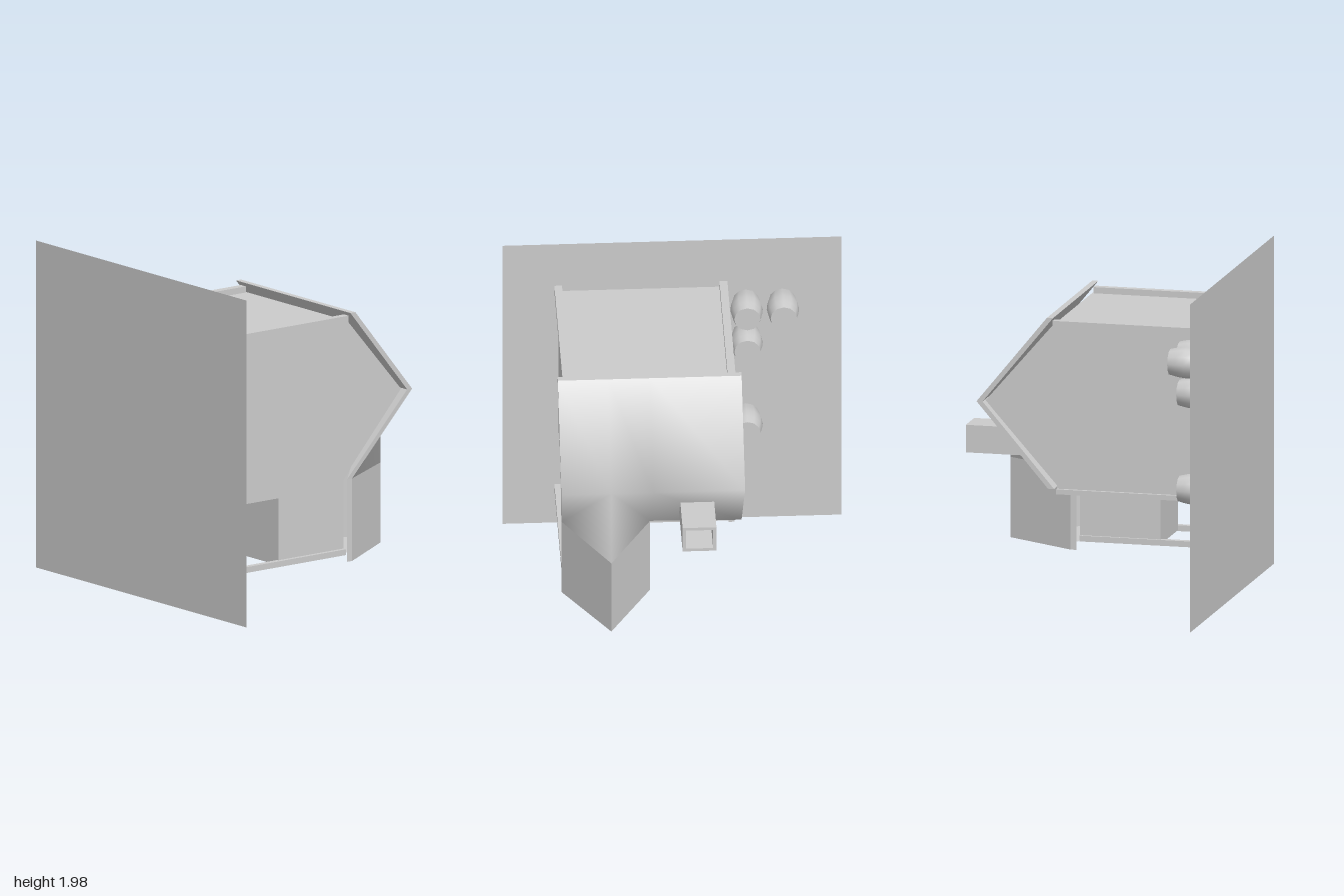
import * as THREE from 'three';

const mat = (opts = {}) => new THREE.MeshStandardMaterial({ color: 0xcccccc, ...opts });

export function createModel() {
  const model = new THREE.Group();
  const flat = mat({ flatShading: true });
  const flatBoth = mat({ flatShading: true, side: THREE.DoubleSide });
  const smooth = mat();
  const smoothBoth = mat({ side: THREE.DoubleSide });

  const add = (name, geometry, material = flat, parent = model) => {
    const mesh = new THREE.Mesh(geometry, material);
    mesh.name = name;
    parent.add(mesh);
    return mesh;
  };

  // Box given by its extents on each axis
  const box = (name, [x0, x1], [y0, y1], [z0, z1]) => {
    const mesh = add(name, new THREE.BoxGeometry(x1 - x0, y1 - y0, z1 - z0));
    mesh.position.set((x0 + x1) / 2, (y0 + y1) / 2, (z0 + z1) / 2);
  };

  const surface = (points, tris) => {
    const g = new THREE.BufferGeometry();
    g.setAttribute('position', new THREE.Float32BufferAttribute(points.flat(), 3));
    g.setIndex(tris.flat());
    g.computeVertexNormals();
    return g;
  };

  // Folded sheet: outer skin, inner skin shifted forward, and a rim along the open edges
  const sheet = (name, points, tris, skinMaterial, depth = 0.037) => {
    const group = new THREE.Group();
    group.name = name;
    const n = points.length;
    const all = [...points, ...points.map(([x, y, z]) => [x, y, z + depth])];
    const inner = tris.map(([a, b, c]) => [a + n, c + n, b + n]);
    const edges = tris.flatMap(([a, b, c]) => [[a, b], [b, c], [c, a]]);
    const rim = edges
      .filter(([a, b]) => !edges.some(([c, d]) => c === b && d === a))
      .flatMap(([a, b]) => [[a, a + n, b], [b, a + n, b + n]]);
    add(name + 'Outer', surface(points, tris), skinMaterial, group);
    add(name + 'Inner', surface(all, [...inner, ...rim]), flatBoth, group);
    model.add(group);
  };

  // Backing wall
  const wall = add('backingWall', new THREE.PlaneGeometry(2, 1.98), flatBoth);
  wall.position.set(0, 0.99, 0.79);

  // Main body: side profile (z, y) extruded across the width
  const profile = new THREE.Shape([
    [0.785, 0.65], [0.785, 1.65], [-0.23, 1.65], [-0.635, 1.18], [-0.2, 0.69], [-0.2, 0.65],
  ].map(([z, y]) => new THREE.Vector2(-z, y)));
  const bodyGeo = new THREE.ExtrudeGeometry(profile, { depth: 0.97, bevelEnabled: false });
  bodyGeo.rotateY(Math.PI / 2);
  bodyGeo.translate(-0.3, 0, 0);
  add('body', bodyGeo);

  // Lower compartment and its floor inside the prow
  box('lowerCompartment', [0.25, 0.67], [0.245, 0.65], [-0.2, 0.29]);
  add('prowFloor', surface(
    [[0.2, 0.246, -0.2], [0.43, 0.246, -0.63], [0.68, 0.246, -0.2]], [[0, 1, 2]]), flatBoth);

  // Rails along the top and bottom edges
  box('topRailRight', [-0.327, -0.28], [1.645, 1.687], [-0.22, 0.787]);
  box('topRailLeft', [0.65, 0.695], [1.645, 1.687], [-0.22, 0.787]);
  box('sideRail', [-0.32, -0.285], [0.64, 0.67], [-0.2, 0.787]);
  box('bottomRailLeft', [0.66, 0.695], [0.24, 0.275], [-0.2, 0.787]);
  box('bottomRailInner', [0.235, 0.27], [0.24, 0.275], [-0.2, 0.787]);

  // Hood: slopes out to a ridge, then back in around a pointed prow
  const xs = [-0.36, 0.18, 0.43, 0.725];
  const hood = [
    ...xs.map((x) => [x, 1.71, -0.247]),
    ...xs.map((x) => [x, 1.185, -0.675]),
    [-0.36, 0.68, -0.24], [0.18, 0.69, -0.24], [0.43, 0.685, -0.67], [0.703, 0.7, -0.24],
  ];
  const hoodTris = [];
  for (const a of [0, 1, 2, 4, 5]) hoodTris.push([a, a + 1, a + 4], [a + 1, a + 5, a + 4]);
  hoodTris.push([6, 7, 11], [6, 11, 10]);
  sheet('hood', hood, hoodTris, smooth);

  // Skirt below the prow
  const skirtTop = hood.slice(9);
  const skirt = [...skirtTop, ...skirtTop.map(([x, , z]) => [x, 0.2, z])];
  sheet('skirt', skirt, [[0, 1, 3], [1, 4, 3], [1, 2, 4], [2, 5, 4]], flat);

  // Hollow square spout at the back
  const rect = (C, h, v) => new C([[-h, -v], [h, -v], [h, v], [-h, v]].map((p) => new THREE.Vector2(...p)));
  const spoutShape = rect(THREE.Shape, 0.1, 0.083);
  spoutShape.holes.push(rect(THREE.Path, 0.08, 0.064));
  const spout = add('spout', new THREE.ExtrudeGeometry(spoutShape, { depth: 0.48, bevelEnabled: false }));
  spout.position.set(-0.085, 0.917, -0.785);

  // Barrels fixed to the backing wall
  const staves = [[0, -0.1], [0.078, -0.1], [0.09, -0.05], [0.096, 0], [0.09, 0.05], [0.078, 0.1], [0, 0.1]];
  const side = new THREE.LatheGeometry(staves.slice(1, -1).map((p) => new THREE.Vector2(...p)), 12);
  const cap = new THREE.CircleGeometry(0.078, 12);
  [[-0.435, 1.55], [-0.65, 1.55], [-0.435, 1.32], [-0.435, 0.74]].forEach(([x, y], i) => {
    const barrel = new THREE.Group();
    barrel.name = 'barrel' + (i + 1);
    add('barrelSide', side, smoothBoth, barrel);
    for (const s of [-1, 1]) {
      const end = add('barrelEnd', cap, flat, barrel);
      end.rotation.x = -s * Math.PI / 2;
      end.position.y = s * 0.1;
    }
    barrel.rotation.x = Math.PI / 2;
    barrel.position.set(x, y, 0.68);
    model.add(barrel);
  });

  return model;
}
